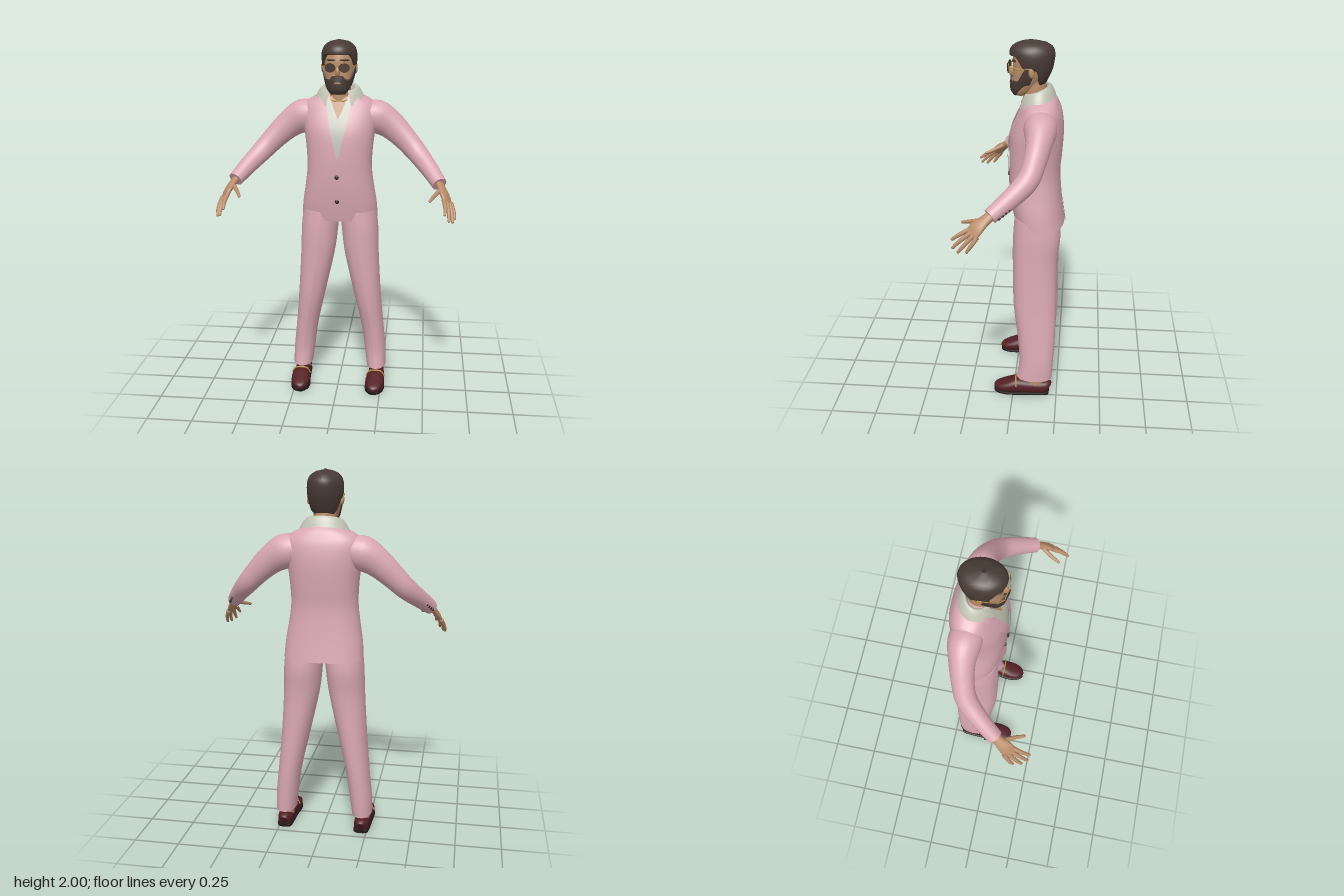
import * as THREE from 'three';

const material = (name, color) => new THREE.MeshStandardMaterial({ name, color, side: THREE.DoubleSide });
const pink = material('pink cloth', 0xdaa8b2), shirtGrey = material('pale shirt', 0xc2c5b5);
const skin = material('skin', 0xb98c69), hairBrown = material('dark brown hair', 0x483a34);
const maroon = material('maroon leather', 0x531f24), black = material('black sole', 0x20171a);
const gold = material('gold', 0xb5913f), lensBrown = material('brown lens', 0x4d3a33);
const buttonDark = material('dark button', 0x3a2a2d);
const V = (x, y, z) => new THREE.Vector3(x, y, z);

function add(parent, name, geometry, mat, pos = [0, 0, 0], scale = [1, 1, 1], rot = [0, 0, 0]) {
  const mesh = new THREE.Mesh(geometry, mat);
  mesh.name = name;
  mesh.position.set(...pos);
  mesh.scale.set(...scale);
  mesh.rotation.set(...rot);
  parent.add(mesh);
  return mesh;
}

// Catmull-Rom refinement of rows of numbers
function smooth(rows, k = 4) {
  const out = [];
  for (let i = 0; i < rows.length - 1; i++) for (let s = 0; s < k; s++) {
    const t = s / k;
    out.push(rows[i].map((p1, c) => {
      const p0 = rows[Math.max(i - 1, 0)][c], p2 = rows[i + 1][c], p3 = rows[Math.min(i + 2, rows.length - 1)][c];
      return p1 + 0.5 * t * (p2 - p0 + t * (2 * p0 - 5 * p1 + 4 * p2 - p3 + t * (3 * (p1 - p2) + p3 - p0)));
    }));
  }
  return [...out, rows.at(-1)];
}

// Skin over a list of point rings
function loft(rings, closed = true, caps = closed) {
  const n = rings[0].length, index = [], pts = rings.flat();
  for (let i = 0; i < rings.length - 1; i++) for (let j = 0; j < (closed ? n : n - 1); j++) {
    const k = (j + 1) % n, a = i * n + j, b = a + n, c = (i + 1) * n + k, d = i * n + k;
    index.push(a, b, c, a, c, d);
  }
  if (caps) [0, rings.length - 1].forEach((r) => {
    const base = pts.length, mid = V(0, 0, 0);
    rings[r].forEach((p) => { mid.addScaledVector(p, 1 / n); pts.push(p); });
    pts.push(mid);
    for (let j = 0; j < n; j++) {
      const k = (j + 1) % n;
      index.push(base + n, ...(r ? [base + k, base + j] : [base + j, base + k]));
    }
  });
  const g = new THREE.BufferGeometry().setFromPoints(pts);
  g.setIndex(index);
  g.computeVertexNormals();
  return g;
}

// Level sections: [y, centre x, half width, front z, back z]; angle 0 faces front
const power = (v, e) => Math.sign(v) * Math.abs(v) ** (2 / e);
function sectionPoint([y, cx, rx, f, b], a, e, grow = 0, crease = 0) {
  const ridge = crease * Math.exp(-((Math.sin(a / 2) / 0.07) ** 2));
  return V(cx + (rx + grow) * power(Math.sin(a), e), y,
    (f + b) / 2 + ((f - b) / 2 + grow) * power(Math.cos(a), e) + ridge);
}
const body = (rows, e = 2, crease = 0, n = 48) => loft(rows.map((r) =>
  Array.from({ length: n }, (_, j) => sectionPoint(r, -2 * Math.PI * j / n, e, 0, crease))));
function at(rows, y) {
  let i = 0;
  while (i < rows.length - 2 && rows[i + 1][0] < y) i++;
  const t = THREE.MathUtils.clamp((y - rows[i][0]) / (rows[i + 1][0] - rows[i][0]), 0, 1);
  return rows[i].map((v, c) => v + (rows[i + 1][c] - v) * t);
}

// Round limb along a path: [x, y, z, radius along ref, radius across]
function sweep(rows, ref = V(0, 1, 0), n = 20, e = 2) {
  const ps = rows.map((r) => V(r[0], r[1], r[2]));
  return loft(rows.map((r, i) => {
    const T = ps[Math.min(i + 1, ps.length - 1)].clone().sub(ps[Math.max(i - 1, 0)]).normalize();
    const U = ref.clone().addScaledVector(T, -ref.dot(T)).normalize(), W = U.clone().cross(T);
    return Array.from({ length: n }, (_, j) => {
      const a = 2 * Math.PI * j / n;
      return ps[i].clone().addScaledVector(U, r[3] * power(Math.cos(a), e)).addScaledVector(W, r[4] * power(Math.sin(a), e));
    });
  }));
}

const torsoRows = smooth([
  [1.01, 0, .215, 0, -.268], [1.1, 0, .208, .017, -.255], [1.2, 0, .192, .03, -.244], [1.3, 0, .18, .036, -.238],
  [1.4, 0, .183, .036, -.246], [1.5, 0, .194, .028, -.252], [1.57, 0, .203, .006, -.25], [1.63, 0, .203, -.022, -.24],
  [1.67, 0, .178, -.04, -.225], [1.7, 0, .125, -.055, -.21], [1.72, 0, .08, -.065, -.19]]);
const torsoE = 2.4;

// Thin panel on the jacket surface: rows of [y, x from, x to]; side -1 is the back
function panel(rows, offset, side = 1) {
  return loft(smooth(rows, 3).reverse().sort((p, q) => p[0] - q[0]).map(([y, x0, x1]) => Array.from({ length: 9 }, (_, j) => {
    const x = x0 + (x1 - x0) * j / 8, [, , rx, f, b] = at(torsoRows, y);
    const h = Math.max(0, 1 - Math.abs(x / rx) ** torsoE) ** (1 / torsoE);
    return V(x, y, (f + b) / 2 + side * ((f - b) / 2 * h + offset));
  })), false);
}

const headRows = smooth([
  [1.715, 0, .038, .005, -.05], [1.74, 0, .054, .022, -.09], [1.78, 0, .068, .024, -.13], [1.82, 0, .078, .02, -.155],
  [1.86, 0, .083, .018, -.175], [1.9, 0, .084, .016, -.178], [1.95, 0, .072, 0, -.165], [1.98, 0, .035, -.04, -.12]]);
const hairRows = smooth([
  [1.77, 0, .064, -.01, -.148], [1.8, 0, .08, .005, -.165], [1.85, 0, .091, .02, -.187], [1.9, 0, .096, .03, -.197],
  [1.94, 0, .093, .036, -.199], [1.97, 0, .078, .02, -.184], [1.99, 0, .048, -.018, -.145], [2, 0, .004, -.07, -.08]]);

// Shell over part of the head between two edge heights, tucked in at both edges
function shell(rows, reach, low, high, grow) {
  const rings = [-1, ...Array.from({ length: 15 }, (_, i) => i / 14), 2];
  return loft(rings.map((v) => Array.from({ length: 49 }, (_, j) => {
    const a = reach * (1 - 2 * j / 48), t = THREE.MathUtils.clamp(v, 0, 1);
    const y = low(Math.abs(a)) * (1 - t) + high(Math.abs(a)) * t;
    return sectionPoint(at(rows, y), a, 2, v === t ? grow : grow - .018);
  })), false);
}
const step = THREE.MathUtils.smoothstep;

function buildHead(g) {
  add(g, 'head', body(headRows), skin);
  add(g, 'hair', shell(hairRows, Math.PI,
    (a) => 1.925 - .065 * step(a, .75, 1.25) - .085 * step(a, 1.75, 2.3), () => 2, 0), hairBrown);
  add(g, 'beard', shell(headRows, 1.8, (a) => 1.717 + .065 * step(a, .8, 1.7),
    (a) => 1.816 - .02 * step(a, .3, .6) + .075 * step(a, .95, 1.35), .009), hairBrown);
  const ball = new THREE.SphereGeometry(1, 20, 14);
  add(g, 'nose', ball, skin, [0, 1.838, .02], [.014, .028, .022]);
  add(g, 'lips', ball, skin, [0, 1.779, .029], [.02, .005, .007]);
  add(g, 'neck', body(smooth([[1.6, 0, .065, -.02, -.17], [1.68, 0, .062, -.035, -.165], [1.8, 0, .058, -.035, -.155]]), 2, 0, 28), skin);
  for (const s of [-1, 1]) {
    add(g, 'ear', ball, skin, [s * .088, 1.848, -.085], [.01, .028, .017], [.15, s * .3, 0]);
    add(g, 'eyebrow', ball, hairBrown, [s * .036, 1.898, .009], [.026, .006, .01], [0, s * .3, 0]);
    // Sunglasses
    add(g, 'lens', new THREE.CylinderGeometry(1, 1, .004, 28), lensBrown, [s * .037, 1.861, .04], [.03, 1, .024], [Math.PI / 2, 0, -s * .25]);
    add(g, 'lensRim', new THREE.TorusGeometry(.03, .0022, 6, 32), gold, [s * .037, 1.861, .04], [1, .8, 1], [0, s * .25, 0]);
    add(g, 'glassesArm', new THREE.TubeGeometry(new THREE.CatmullRomCurve3(
      [V(s * .066, 1.868, .033), V(s * .086, 1.868, .005), V(s * .096, 1.865, -.08), V(s * .093, 1.845, -.1)]), 20, .0022, 6), gold);
  }
  add(g, 'glassesBridge', new THREE.TubeGeometry(new THREE.QuadraticBezierCurve3(
    V(-.012, 1.868, .044), V(0, 1.876, .053), V(.012, 1.868, .044)), 10, .0022, 6), gold);
  add(g, 'necklace', new THREE.TorusGeometry(.066, .004, 8, 48), gold, [0, 1.696, -.098], [1, 1.1, 1], [Math.PI / 2 + .3, 0, 0]);
}

function buildJacket(g) {
  add(g, 'jacketBody', body(torsoRows, torsoE), pink);
  add(g, 'shirtFront', panel([[1.37, -.003, .003], [1.5, -.036, .036], [1.6, -.058, .058], [1.69, -.07, .07]], .004), shirtGrey);
  add(g, 'openNeck', panel([[1.585, -.002, .002], [1.64, -.026, .026], [1.7, -.05, .05]], .008), skin);
  add(g, 'frontEdge', panel([[1.012, -.012, .05], [1.2, -.02, .05], [1.37, -.006, .03]], .005), pink);
  for (const s of [-1, 1]) {
    add(g, 'lapel', panel([[1.36, 0, s * .012], [1.45, s * .022, s * .062], [1.54, s * .044, s * .098], [1.615, s * .058, s * .128]], .011), pink);
    add(g, 'lapelCollar', panel([[1.622, s * .06, s * .108], [1.66, s * .066, s * .125], [1.695, s * .07, s * .105]], .011), pink);
    add(g, 'pocketFlap', panel([[1.135, s * .085, s * .165], [1.16, s * .085, s * .168]], .007), pink);
  }
  add(g, 'backVent', panel([[1.012, -.008, .03], [1.15, -.004, .014]], .005, -1), pink);
  for (const y of [1.27, 1.13]) add(g, 'frontButton', new THREE.SphereGeometry(.012, 16, 10), buttonDark,
    [-.003, y, at(torsoRows, y)[3] + .006], [1, 1, .5]);
  // Folded shirt collar, higher at the back and open at the front
  const fold = smooth([[.066, 1.68], [.078, 1.738], [.095, 1.748], [.118, 1.72], [.138, 1.682]], 3);
  add(g, 'shirtCollar', loft(fold.map(([r, y]) => Array.from({ length: 41 }, (_, j) => {
    const a = Math.PI + 2.62 * (j / 20 - 1), z = Math.cos(a) * r * .72;
    return V(Math.sin(a) * r, y - z * .36, z - .108);
  })), false), shirtGrey);
}

function buildArm(g) {
  add(g, 'sleeve', sweep(smooth([
    [.12, 1.595, -.13, .07, .08], [.2, 1.58, -.138, .093, .085], [.28, 1.535, -.135, .079, .068], [.36, 1.463, -.118, .066, .058],
    [.43, 1.39, -.085, .058, .055], [.5, 1.318, 0, .049, .047], [.553, 1.258, .083, .04, .041]]), V(0, 1, 0), 28), pink);
  for (let i = 0; i < 4; i++) add(g, 'sleeveButton', new THREE.SphereGeometry(.008, 12, 8), buttonDark,
    [.569 - i * .01, 1.253 + i * .012, .037 - i * .015]);
  const across = V(.04, -.025, -.055);
  add(g, 'palm', sweep(smooth([[.545, 1.268, .07, .026, .02], [.566, 1.24, .107, .029, .018],
    [.585, 1.207, .146, .039, .016], [.598, 1.175, .17, .036, .011]]), across, 20, 2.3), skin);
  // Knuckle, bend and tip of the four fingers, then the thumb
  const fingers = [
    [[.577, 1.197, .18], [.584, 1.168, .232], [.582, 1.14, .27]], [[.591, 1.187, .17], [.603, 1.145, .225], [.604, 1.105, .264]],
    [[.605, 1.178, .157], [.62, 1.132, .202], [.624, 1.092, .235]], [[.615, 1.172, .14], [.631, 1.13, .17], [.635, 1.097, .192]],
    [[.562, 1.24, .115], [.527, 1.217, .175], [.503, 1.2, .228]]];
  fingers.forEach(([a, b, c], i) => {
    const end = c.map((v, k) => v + (c[k] - b[k]) * .08);
    add(g, i < 4 ? 'finger' : 'thumb', sweep([...smooth([[...a, .012, .012], [...b, .0105, .0105], [...c, .0075, .0075]]),
      [...end, .003, .003]], across, 12), skin);
  });
}

function buildLeg(g) {
  add(g, 'trouserLeg', body(smooth([
    [.1, .219, .056, -.025, -.22], [.2, .211, .061, -.04, -.226], [.35, .193, .064, -.03, -.234], [.55, .162, .077, -.004, -.236],
    [.8, .127, .097, .004, -.236], [.95, .115, .104, .003, -.25], [1.06, .104, .104, -.005, -.24]], 5), 2.2, .006), pink);
  add(g, 'ankle', new THREE.CylinderGeometry(.043, .041, .12, 20), skin, [.219, .1, -.125], [1, 1, 1.25]);
  // Loafer sections run from heel to toe: [x, middle y, z, half width, half height]
  const shoe = [[.22, .04, -.207, .02, .028], [.22, .043, -.195, .037, .037], [.221, .042, -.14, .043, .038], [.221, .046, -.06, .047, .042],
    [.22, .048, -.02, .051, .044], [.218, .04, .03, .054, .034], [.215, .032, .075, .045, .025], [.212, .027, .1, .028, .018], [.211, .025, .11, .01, .008]];
  add(g, 'loafer', sweep(smooth(shoe, 3), V(1, 0, 0), 28, 2.5), maroon);
  add(g, 'sole', sweep(smooth(shoe.map(([x, , z, w]) => [x, .009, z, w + .003, .009]), 3), V(1, 0, 0), 24, 5), black);
  add(g, 'shoeBit', new THREE.TubeGeometry(new THREE.CatmullRomCurve3(
    [V(.167, .058, -.02), V(.185, .088, -.018), V(.22, .096, -.015), V(.255, .088, -.018), V(.273, .058, -.02)]), 24, .0045, 8), gold);
}

export function createModel() {
  const model = new THREE.Group();
  model.name = 'man in suit';
  const group = (name, build, side = 1) => {
    const g = new THREE.Group();
    g.name = name;
    g.scale.x = side;
    build(g);
    model.add(g);
  };
  group('headAndNeck', buildHead);
  group('jacket', buildJacket);
  for (const s of [1, -1]) {
    group(s > 0 ? 'leftArm' : 'rightArm', buildArm, s);
    group(s > 0 ? 'leftLeg' : 'rightLeg', buildLeg, s);
  }
  return model;
}
